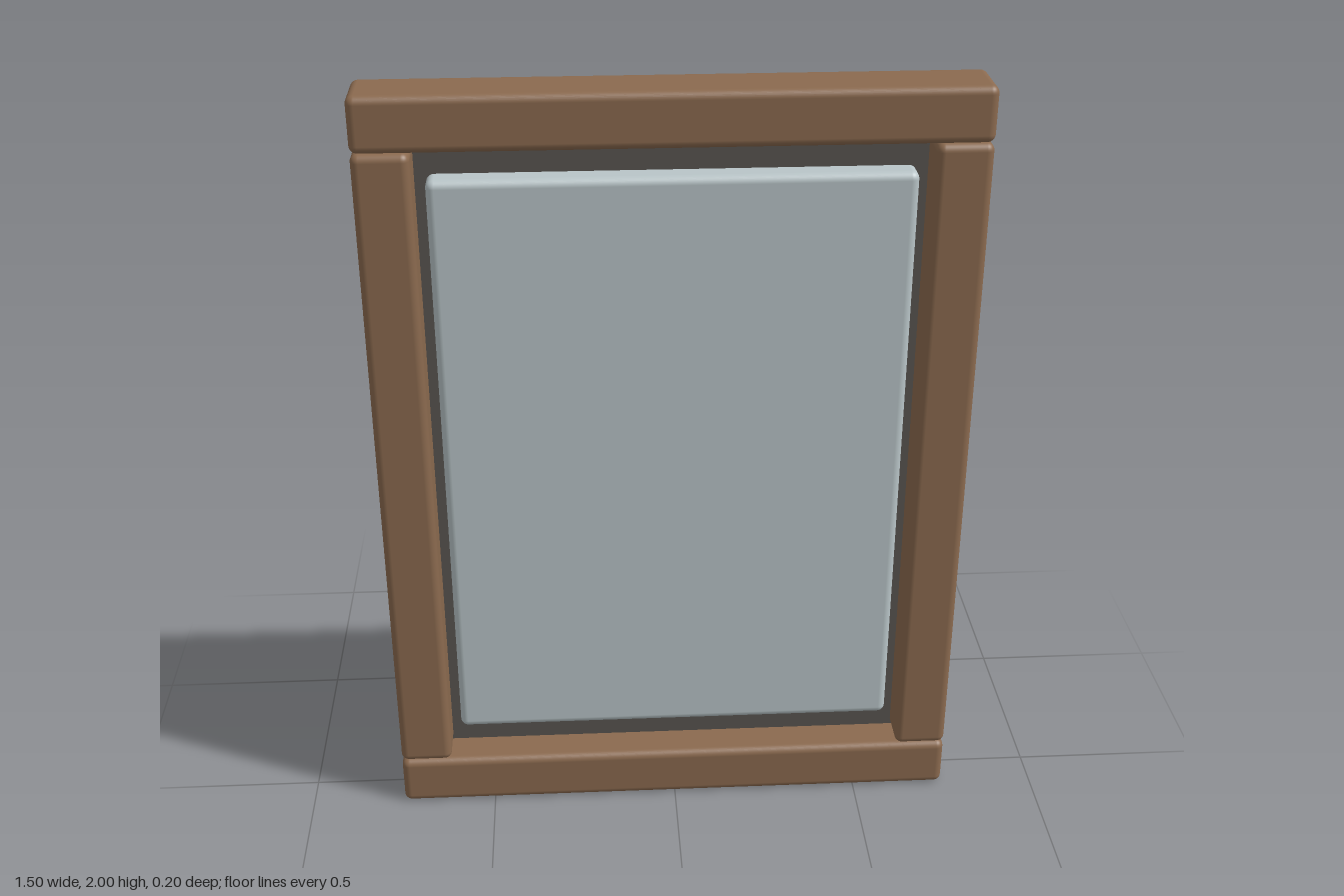
import * as THREE from 'three';
import { RoundedBoxGeometry } from 'three/addons/geometries/RoundedBoxGeometry.js';

export function createModel() {
  const group = new THREE.Group();
  group.name = 'framedMirror';

  const makeMaterial = (name, color) => {
    const material = new THREE.MeshStandardMaterial({ color });
    material.name = name;
    return material;
  };
  const wood = makeMaterial('brownWood', 0x8b6a4f);
  const board = makeMaterial('darkBacking', 0x595550);
  const glass = makeMaterial('paleGlass', 0xb9c5c8);

  // Softly rounded box given by its extents on each axis
  const addBlock = (name, material, [x0, x1], [y0, y1], [z0, z1], radius = 0.02) => {
    const geometry = new RoundedBoxGeometry(x1 - x0, y1 - y0, z1 - z0, 4, radius);
    const mesh = new THREE.Mesh(geometry, material);
    mesh.position.set((x0 + x1) / 2, (y0 + y1) / 2, (z0 + z1) / 2);
    mesh.name = name;
    group.add(mesh);
  };

  // Wooden frame: full-width rails with the stiles set between them
  const depth = [-0.06, 0.1];
  addBlock('topRail', wood, [-0.75, 0.75], [1.863, 2], depth);
  addBlock('bottomRail', wood, [-0.75, 0.75], [0, 0.137], depth);
  addBlock('leftStile', wood, [0.613, 0.75], [0.137, 1.863], depth);
  addBlock('rightStile', wood, [-0.75, -0.613], [0.137, 1.863], depth);

  // Backing board, standing proud behind the frame
  addBlock('backingBoard', board, [-0.673, 0.673], [0.077, 1.923], [-0.1, 0]);

  // Glass pane, recessed inside the frame
  addBlock('glassPane', glass, [-0.585, 0.585], [0.217, 1.783], [-0.02, 0.06]);

  return group;
}
